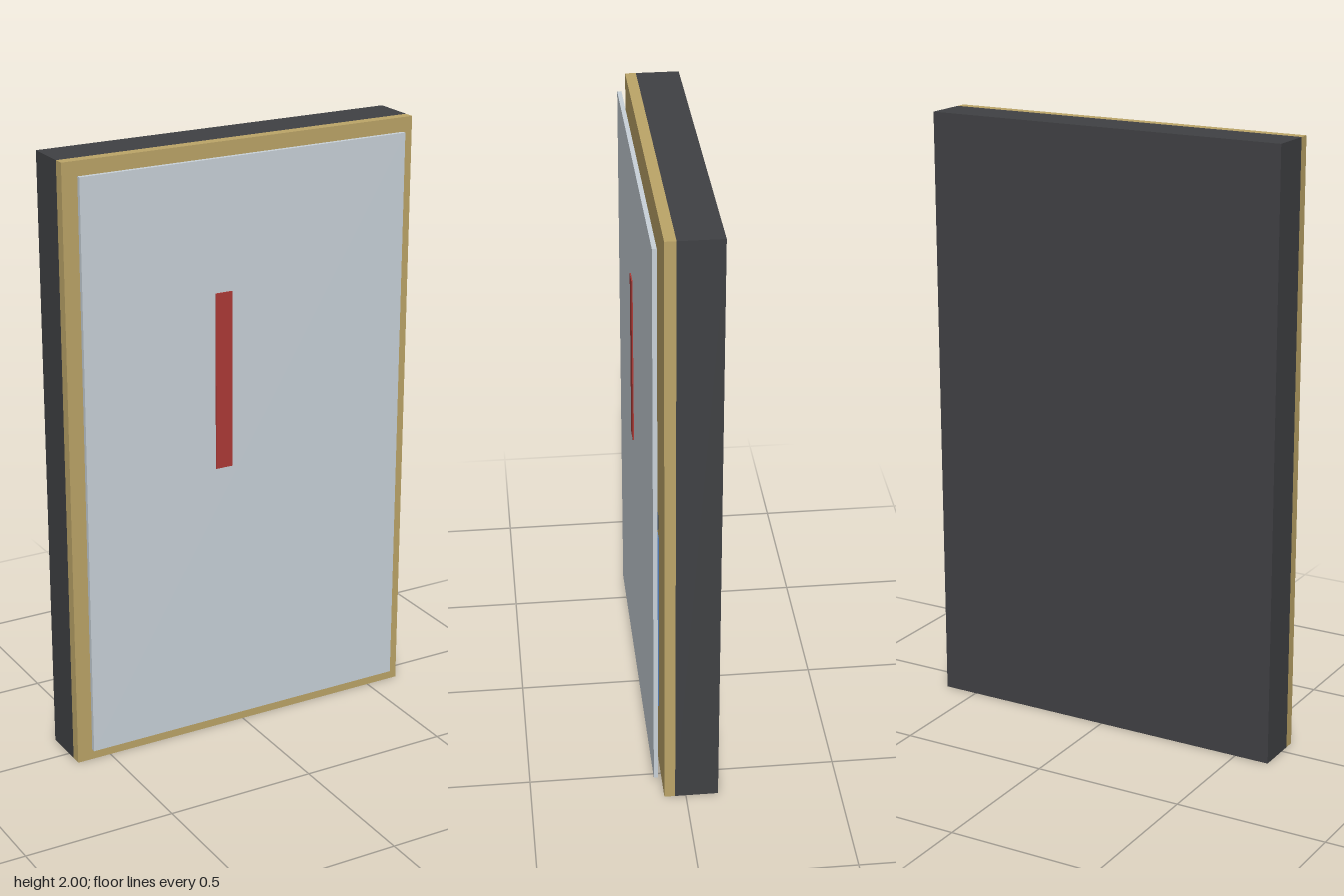
import * as THREE from 'three';

const material = (color) => new THREE.MeshStandardMaterial({ color });

export function createModel() {
  const model = new THREE.Group();
  const dark = material(0x404144);
  const tan = material(0xbca568);
  const glass = material(0xc9d2d9);
  const red = material(0xad3a36);
  const blue = material(0x4f7ab5);
  const navy = material(0x2b3d55);

  // Box given by its lower and upper corners
  const addBox = (name, mat, [x0, y0, z0], [x1, y1, z1], parent = model) => {
    const mesh = new THREE.Mesh(new THREE.BoxGeometry(x1 - x0, y1 - y0, z1 - z0), mat);
    mesh.position.set((x0 + x1) / 2, (y0 + y1) / 2, (z0 + z1) / 2);
    mesh.name = name;
    parent.add(mesh);
  };

  // Case and the board on its front
  addBox('backCase', dark, [-0.617, 0, -0.105], [0.617, 2, 0.035]);
  addBox('frontBoard', tan, [-0.617, 0, 0.035], [0.617, 2, 0.07]);

  // Thin plates between board and pane: a narrow upper row and a wide lower row
  const plates = new THREE.Group();
  plates.name = 'innerPlates';
  model.add(plates);
  const rows = [
    { name: 'upperPlate', outer: 0.29, y0: 0.975, y1: 1.605 },
    { name: 'lowerPlate', outer: 0.45, y0: 0.24, y1: 0.9 },
  ];
  for (const { name, outer, y0, y1 } of rows) {
    for (const [x0, x1] of [[-outer, -0.235], [-0.22, 0.22], [0.235, outer]]) {
      addBox(name, blue, [x0, y0, 0.07], [x1, y1, 0.086], plates);
    }
  }
  addBox('darkStrip', navy, [0.235, 0.93, 0.07], [0.45, 0.975, 0.086], plates);

  // Floating front pane with its marker bar
  addBox('frontPane', glass, [-0.573, 0.045, 0.086], [0.573, 1.957, 0.1]);
  addBox('markerBar', red, [-0.118, 0.945, 0.1], [-0.06, 1.53, 0.104]);

  return model;
}
